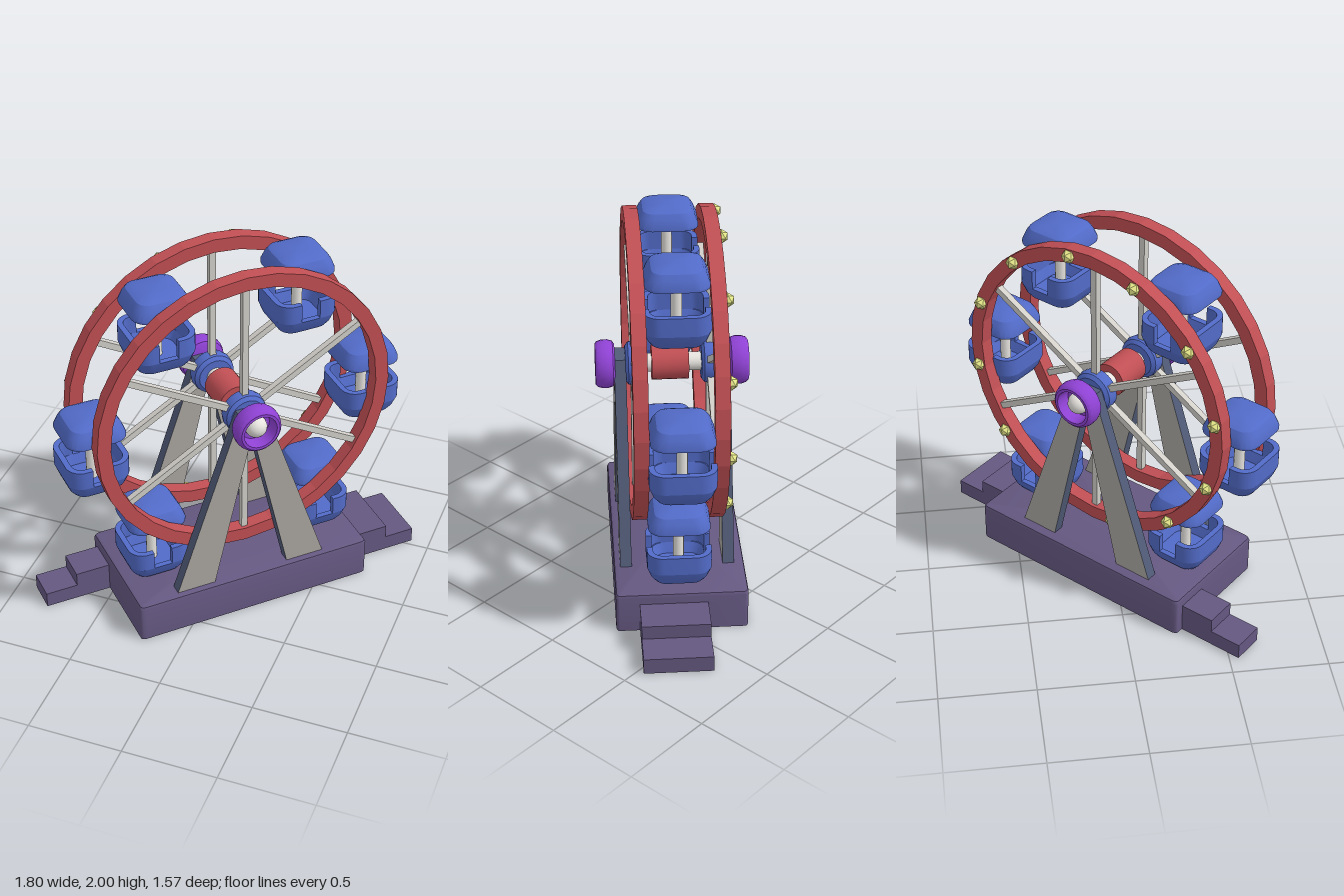
import * as THREE from 'three';
import { toCreasedNormals } from 'three/addons/utils/BufferGeometryUtils.js';

function mat(name, color, side = THREE.FrontSide) {
  const m = new THREE.MeshStandardMaterial({ color, side });
  m.name = name;
  return m;
}

function add(parent, name, geo, material, x = 0, y = 0, z = 0) {
  const m = new THREE.Mesh(geo, material);
  m.name = name;
  m.position.set(x, y, z);
  parent.add(m);
  return m;
}

// Unit rounded square outline, half side 1, corner radius r
function outline(r) {
  const pts = [], n = 5;
  for (let k = 0; k < 4; k++) {
    const c = Math.PI / 4 + k * Math.PI / 2;
    for (let i = 0; i <= n; i++) {
      const t = k * Math.PI / 2 + (i / n) * Math.PI / 2;
      pts.push([Math.sign(Math.cos(c)) * (1 - r) + r * Math.cos(t), Math.sign(Math.sin(c)) * (1 - r) + r * Math.sin(t)]);
    }
  }
  return pts;
}

// Stacks rounded rectangles; profile is a list of [half x, height, half z]
function loft(profile, r = 0.5) {
  const o = outline(r), pos = [];
  const p = (i, j) => {
    const [x, z] = o[i % o.length], [a, y, b = a] = profile[j];
    return [x * a, y, z * b];
  };
  for (let j = 0; j < profile.length - 1; j++) {
    for (let i = 0; i < o.length; i++) {
      if (profile[j][0] > 0) pos.push(...p(i, j), ...p(i, j + 1), ...p(i + 1, j));
      if (profile[j + 1][0] > 0) pos.push(...p(i + 1, j), ...p(i, j + 1), ...p(i + 1, j + 1));
    }
  }
  const g = new THREE.BufferGeometry();
  g.setAttribute('position', new THREE.Float32BufferAttribute(pos, 3));
  return toCreasedNormals(g, 0.5);
}

// Lathe around the z axis
function turned(profile, segments = 24) {
  const g = new THREE.LatheGeometry(profile.map(([r, h]) => new THREE.Vector2(r, h)), segments);
  return toCreasedNormals(g.rotateX(Math.PI / 2), 0.6);
}

// Half of the cabin's upper wall, leaving a doorway at each open end
function wallHalf() {
  const a = 0.165, b = 0.135, r = 0.0825, q = 0.053, gap = 0.05;
  const s = new THREE.Shape();
  s.moveTo(gap, -a);
  s.lineTo(a - r, -a);
  s.absarc(a - r, -a + r, r, -Math.PI / 2, 0, false);
  s.absarc(a - r, a - r, r, 0, Math.PI / 2, false);
  s.lineTo(gap, a);
  s.lineTo(gap, b);
  s.absarc(b - q, b - q, q, Math.PI / 2, 0, true);
  s.absarc(b - q, -b + q, q, 0, -Math.PI / 2, true);
  s.lineTo(gap, -b);
  const g = new THREE.ExtrudeGeometry(s, { depth: 0.1, bevelEnabled: false, curveSegments: 4 });
  return toCreasedNormals(g.rotateX(-Math.PI / 2), 0.5);
}

export function createModel() {
  const red = mat('rim red', 0xc04f54), blue = mat('cabin blue', 0x526bc8);
  const purple = mat('cap purple', 0x8f42d4), plum = mat('base plum', 0x655881, THREE.DoubleSide);
  const pale = mat('pale metal', 0xeae7e2), steel = mat('spoke steel', 0xd2cfc9);
  const grey = mat('leg grey', 0xaaa7a2), slate = mat('leg slate', 0x525c78);
  const yellow = mat('bulb yellow', 0xeaec8c);

  const model = new THREE.Group();
  model.name = 'ferrisWheel';
  const body = new THREE.Group();
  body.name = 'turnedBody';
  body.rotation.y = Math.PI / 4;
  model.add(body);

  // Hollow base, open underneath, and end steps
  const baseGeo = loft([[0.66, 0, 0.34], [0.66, 0.2, 0.34], [0.655, 0.213, 0.335], [0.64, 0.22, 0.32], [0, 0.22, 0]], 0.05);
  add(body, 'base', baseGeo, plum, -0.005, 0, 0.037);
  const step = (name, x0, x1, top, z0, z1) =>
    add(body, name, new THREE.BoxGeometry(x1 - x0, top, z1 - z0), plum, (x0 + x1) / 2, top / 2, (z0 + z1) / 2);
  step('rightLowStep', -1.024, -0.84, 0.085, -0.25, -0.08);
  step('rightHighStep', -0.85, -0.66, 0.16, -0.25, -0.08);
  step('leftLowStep', 0.83, 1.014, 0.085, -0.095, 0.256);
  step('leftHighStep', 0.65, 0.845, 0.16, -0.095, 0.256);

  // Everything centred on the axle
  const ride = new THREE.Group();
  ride.name = 'ride';
  ride.position.set(-0.021, 0, 0.047);
  body.add(ride);

  // Tapered legs
  for (const side of [-1, 1]) for (const m of [-1, 1]) {
    const s = new THREE.Shape([[0.225, 0.15], [0.445, 0.15], [0.07, 1.25], [-0.03, 1.25]].map(([x, y]) => new THREE.Vector2(x * m, y)));
    const g = new THREE.ExtrudeGeometry(s, { depth: 0.06, bevelEnabled: false });
    add(ride, 'leg', g, [grey, slate], 0, 0, side * 0.267 - 0.03);
  }

  const wheel = new THREE.Group();
  wheel.name = 'wheel';
  wheel.position.y = 1.196;
  ride.add(wheel);

  // Axle and drum
  add(wheel, 'axle', turned([[0, -0.33], [0.048, -0.33], [0.048, 0.33], [0, 0.33]]), pale);
  add(wheel, 'drum', turned([[0, -0.095], [0.09, -0.095], [0.09, 0.095], [0, 0.095]]), red, 0, 0, 0.01);

  // Rims with hubs, spokes and end caps
  const rim = new THREE.Shape().absarc(0, 0, 0.805, 0, Math.PI * 2, false);
  rim.holes.push(new THREE.Path().absarc(0, 0, 0.732, 0, Math.PI * 2, true));
  const rimGeo = new THREE.ExtrudeGeometry(rim, { depth: 0.074, bevelEnabled: false, curveSegments: 16 });
  const hubGeo = turned([[0, -0.045], [0.09, -0.045], [0.11, -0.03], [0.117, 0], [0.11, 0.03], [0.09, 0.045], [0, 0.045]]);
  const capGeo = turned([[0, -0.05], [0.1, -0.05], [0.117, -0.04], [0.125, -0.015], [0.125, 0.015],
    [0.117, 0.04], [0.105, 0.05], [0.09, 0.05], [0.08, -0.02], [0, -0.02]]);
  for (const side of [-1, 1]) {
    const z = side * 0.195;
    add(wheel, 'rim', rimGeo, red, 0, 0, z - 0.037);
    add(wheel, 'hub', hubGeo, blue, 0, 0, z);
    const cap = add(wheel, 'endCap', capGeo, purple, 0, 0, side * 0.343);
    if (side < 0) cap.rotation.y = Math.PI;
    add(wheel, 'axleDome', new THREE.SphereGeometry(0.057, 16, 12), pale, 0, 0, side * 0.335);
    for (let i = 0; i < 6; i++) {
      const t = Math.PI / 6 + i * Math.PI / 3;
      const spoke = add(wheel, 'spoke', new THREE.BoxGeometry(0.68, 0.034, 0.034), steel, 0.4 * Math.cos(t), 0.4 * Math.sin(t), z);
      spoke.rotation.z = t;
    }
  }

  // Bulbs on the back rim
  for (let i = 0; i < 12; i++) {
    const t = THREE.MathUtils.degToRad(20 + 30 * i);
    add(wheel, 'bulb', new THREE.IcosahedronGeometry(0.036, 0), yellow, 0.768 * Math.cos(t), 0.768 * Math.sin(t), -0.237);
  }

  // Six hanging cabins, the lowest pair set wider apart
  const roofGeo = loft([[0, 0], [0.158, 0], [0.158, 0.012], [0.142, 0.055], [0.125, 0.082], [0.1, 0.095], [0, 0.097]]);
  const bowlGeo = loft([[0, -0.32], [0.1, -0.32], [0.128, -0.308], [0.147, -0.28], [0.165, -0.23], [0.135, -0.23], [0.115, -0.285], [0, -0.285]]);
  const wallGeo = wallHalf();
  const poleGeo = new THREE.CylinderGeometry(0.028, 0.028, 0.3, 12);
  const spots = [[0.775, 0.014], [0.38, 0.652], [-0.385, 0.626], [-0.755, -0.012], [-0.445, -0.653], [0.5, -0.64]];
  for (const [x, y] of spots) {
    const cabin = new THREE.Group();
    cabin.name = 'cabin';
    cabin.position.set(x, y, 0);
    wheel.add(cabin);
    add(cabin, 'roof', roofGeo, blue);
    add(cabin, 'bowl', bowlGeo, blue);
    add(cabin, 'wall', wallGeo, blue, 0, -0.23, 0);
    add(cabin, 'wall', wallGeo, blue, 0, -0.23, 0).rotation.y = Math.PI;
    add(cabin, 'pole', poleGeo, pale, 0, -0.14, 0);
  }
  return model;
}
